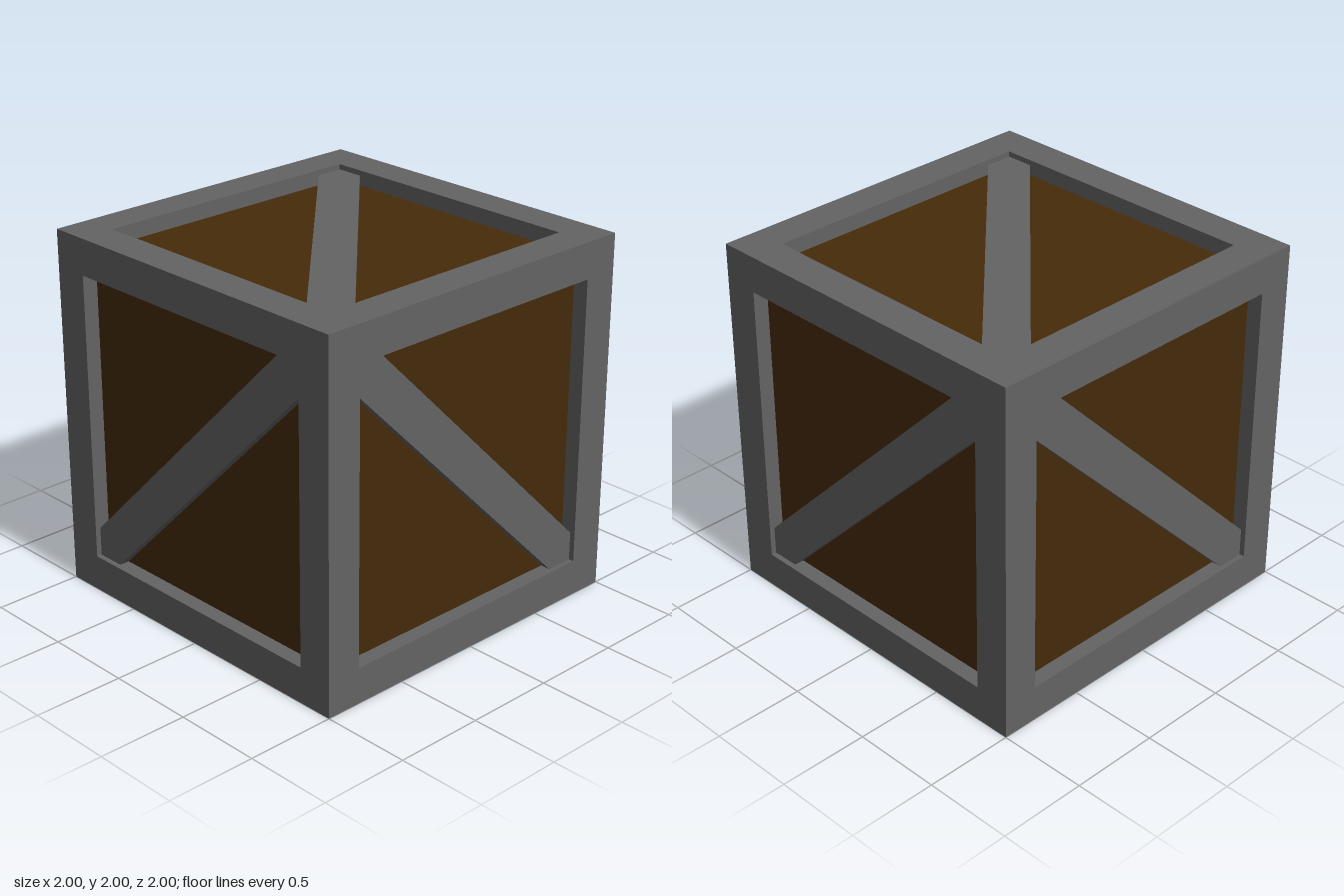
import * as THREE from 'three';

const HALF = 1;         // half of the crate's side
const BEAM = 0.2;       // beam thickness
const OPEN = HALF - BEAM;
const PANEL = 0.913;    // panel distance from the centre
const BRACE = 0.97;     // brace front distance from the centre
const CUT = 0.16;       // brace corner cut along each opening edge

export function createModel() {
  const crate = new THREE.Group();
  crate.name = 'crate';
  const metal = new THREE.MeshStandardMaterial({ color: 0x636363 });
  const wood = new THREE.MeshStandardMaterial({ color: 0x452b0a });

  const add = (parent, name, geometry, material) => {
    const mesh = new THREE.Mesh(geometry, material);
    mesh.name = name;
    parent.add(mesh);
    return mesh;
  };

  // Wooden body whose sides show as recessed panels
  add(crate, 'woodenPanels', new THREE.BoxGeometry(2 * PANEL, 2 * PANEL, 2 * PANEL), wood)
    .position.y = HALF;

  // Frame: four full-height posts with rails butted between them
  const frame = new THREE.Group();
  frame.name = 'frame';
  crate.add(frame);
  const post = new THREE.BoxGeometry(BEAM, 2 * HALF, BEAM);
  const railX = new THREE.BoxGeometry(2 * OPEN, BEAM, BEAM);
  const railZ = new THREE.BoxGeometry(BEAM, BEAM, 2 * OPEN);
  const c = HALF - BEAM / 2;
  for (const a of [-c, c]) {
    for (const b of [-c, c]) {
      add(frame, 'cornerPost', post, metal).position.set(a, HALF, b);
      add(frame, 'crossRail', railX, metal).position.set(0, HALF + a, b);
      add(frame, 'sideRail', railZ, metal).position.set(a, HALF + b, 0);
    }
  }

  // Diagonal brace, trimmed to fit the corners of the opening
  const o = OPEN, k = OPEN - CUT;
  const outline = new THREE.Shape(
    [[-o, o], [-o, k], [k, -o], [o, -o], [o, -k], [-k, o]].map(([x, y]) => new THREE.Vector2(x, y))
  );
  const brace = new THREE.ExtrudeGeometry(outline, { depth: BRACE - PANEL + 0.01, bevelEnabled: false });
  brace.translate(0, 0, PANEL - 0.01);

  // One brace per side; a quarter turn about z picks the other diagonal
  const q = Math.PI / 2;
  const sides = {
    frontBrace: [0, 0, 0],
    backBrace: [0, 2 * q, 0],
    leftBrace: [0, q, q],
    rightBrace: [0, -q, q],
    topBrace: [-q, 0, q],
    bottomBrace: [q, 0, q],
  };
  for (const [name, turn] of Object.entries(sides)) {
    const mesh = add(crate, name, brace, metal);
    mesh.rotation.set(...turn);
    mesh.position.y = HALF;
  }

  return crate;
}
